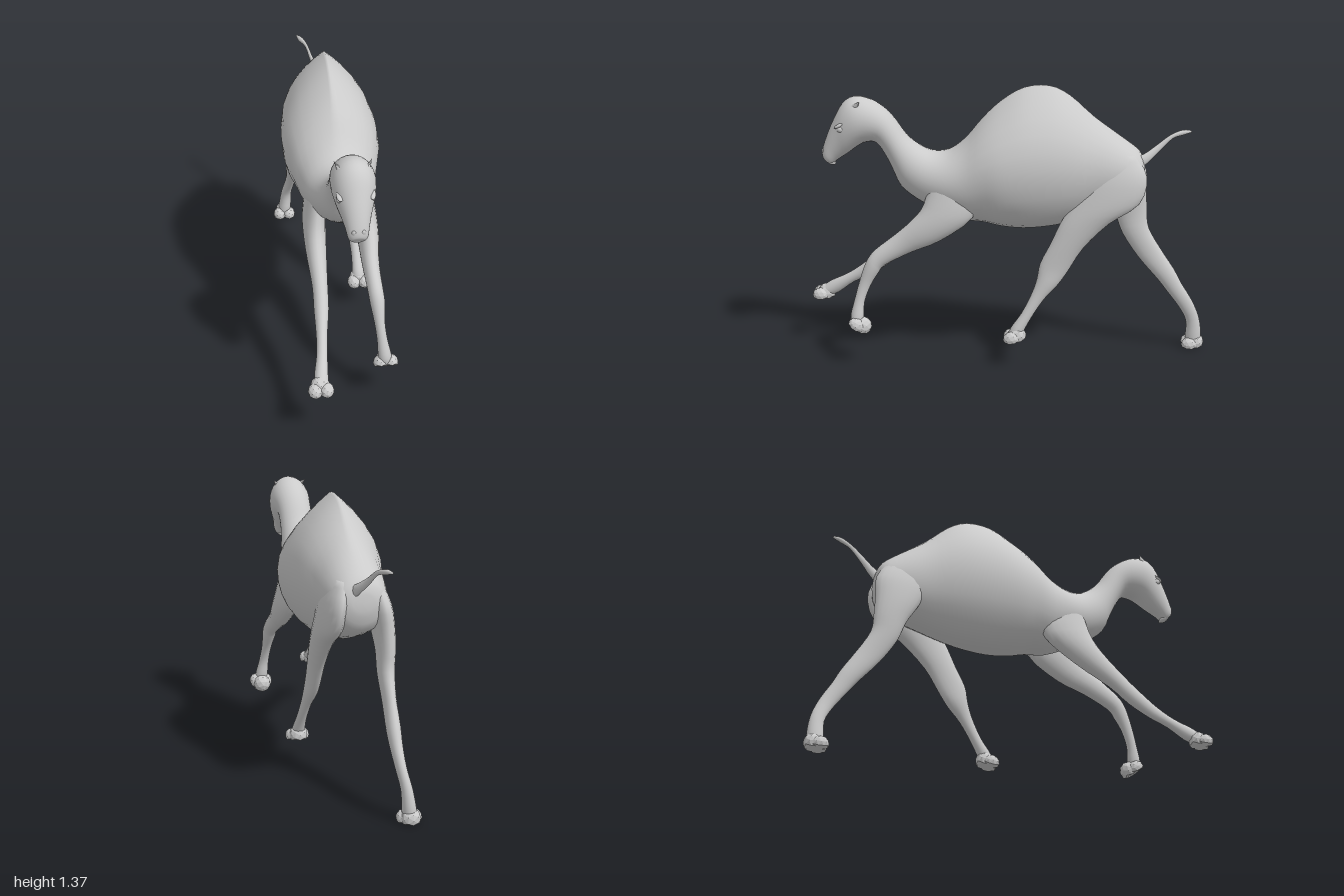
import * as THREE from 'three';

const material = new THREE.MeshStandardMaterial({ color: 0xcccccc, side: THREE.DoubleSide });
const faceted = new THREE.MeshStandardMaterial({ color: 0xcccccc, flatShading: true });

// Smooth value at t between b and c
const spline = (a, b, c, d, t) =>
  b + 0.5 * t * (c - a + t * (2 * a - 5 * b + 4 * c - d + t * (3 * (b - c) + d - a)));

// Skin over cross-sections. Each row is one section:
// [upper edge z, y, lower edge z, y, half width, centre x, widest level 0-1, upper taper]
function loft(name, rows, sides = 20, steps = 3) {
  const full = rows.map(r => [...r, ...[0, 0, 0, 0, 0, 0, 0.5, 1].slice(r.length)]);
  const at = i => full[Math.min(Math.max(i, 0), full.length - 1)];
  const sections = [];
  for (let i = 0; i < full.length - 1; i++)
    for (let k = 0; k < steps; k++)
      sections.push(at(i).map((v, c) => spline(at(i - 1)[c], v, at(i + 1)[c], at(i + 2)[c], k / steps)));
  sections.push(at(full.length - 1));

  const positions = [], index = [];
  for (const [zt, yt, zb, yb, w, xc, mid, taper] of sections) {
    for (let j = 0; j < sides; j++) {
      const a = (j / sides) * Math.PI * 2, s = Math.sin(a), c = Math.cos(a);
      const level = s > 0 ? mid + s * (1 - mid) : mid + s * mid;
      const x = s > 0 ? Math.sign(c) * Math.abs(c) ** taper : c;
      positions.push(xc + w * x, yb + (yt - yb) * level, zb + (zt - zb) * level);
    }
  }
  const last = (sections.length - 1) * sides;
  for (let i = 0; i < sections.length - 1; i++)
    for (let j = 0; j < sides; j++) {
      const a = i * sides + j, b = i * sides + (j + 1) % sides;
      index.push(a, b, b + sides, a, b + sides, a + sides);
    }
  // End caps
  for (const [row, start, flip] of [[sections[0], 0, true], [sections.at(-1), last, false]]) {
    const centre = positions.length / 3;
    positions.push(row[5], (row[1] + row[3]) / 2, (row[0] + row[2]) / 2);
    for (let j = 0; j < sides; j++) {
      const a = start + j, b = start + (j + 1) % sides;
      index.push(centre, ...(flip ? [b, a] : [a, b]));
    }
  }
  const geometry = new THREE.BufferGeometry();
  geometry.setAttribute('position', new THREE.Float32BufferAttribute(positions, 3));
  geometry.setIndex(index);
  geometry.computeVertexNormals();
  const mesh = new THREE.Mesh(geometry, material);
  mesh.name = name;
  return mesh;
}

function blob(name, geometry, mat, position, scale, tilt = 0) {
  const mesh = new THREE.Mesh(geometry, mat);
  mesh.name = name;
  mesh.position.set(...position);
  mesh.scale.set(...scale);
  mesh.rotation.x = tilt;
  return mesh;
}

// Faceted two-toed foot with a flat sole
function foot(name, x, y, z, tilt) {
  const geometry = new THREE.IcosahedronGeometry(1, 1);
  const p = geometry.attributes.position;
  for (let i = 0; i < p.count; i++) p.setY(i, Math.max(p.getY(i), -0.5));
  const group = new THREE.Group();
  group.name = name;
  group.add(blob('heelPad', geometry, faceted, [0, 0.018, -0.012], [0.046, 0.048, 0.045]));
  for (const side of [-1, 1])
    group.add(blob('toe', geometry, faceted, [side * 0.026, 0.012, 0.016], [0.034, 0.036, 0.042]));
  group.position.set(x, y, z);
  group.rotation.x = tilt;
  return group;
}

export function createModel() {
  const model = new THREE.Group();
  model.name = 'camel';

  // Rump, hump, chest, neck and head in one skin
  model.add(loft('body', [
    [-0.665, 1.01, -0.67, 0.93, 0.05],
    [-0.64, 1.07, -0.64, 0.84, 0.115],
    [-0.55, 1.14, -0.55, 0.79, 0.145, 0, 0.5, 1.1],
    [-0.42, 1.235, -0.42, 0.745, 0.168, 0, 0.5, 1.4],
    [-0.3, 1.34, -0.3, 0.71, 0.2, 0, 0.48, 1.8],
    [-0.2, 1.385, -0.2, 0.69, 0.22, 0, 0.47, 2],
    [-0.08, 1.375, -0.08, 0.68, 0.232, 0, 0.47, 2],
    [0.03, 1.31, 0.03, 0.69, 0.23, 0, 0.48, 1.9],
    [0.12, 1.225, 0.12, 0.71, 0.21, 0, 0.5, 1.6],
    [0.2, 1.13, 0.22, 0.72, 0.185, 0, 0.5, 1.3],
    [0.28, 1.07, 0.34, 0.77, 0.16, 0, 0.5, 1.1],
    [0.36, 1.06, 0.44, 0.82, 0.13],
    [0.43, 1.09, 0.52, 0.885, 0.105],
    [0.49, 1.14, 0.56, 0.97, 0.09],
    [0.54, 1.21, 0.6, 1.05, 0.085],
    [0.59, 1.265, 0.64, 1.1, 0.088],
    [0.66, 1.31, 0.69, 1.1, 0.098],
    [0.74, 1.326, 0.73, 1.08, 0.1],
    [0.8, 1.29, 0.77, 1.05, 0.088],
    [0.845, 1.21, 0.8, 1.03, 0.07],
    [0.88, 1.13, 0.83, 1.01, 0.055],
    [0.903, 1.06, 0.855, 0.99, 0.044],
    [0.903, 1.03, 0.875, 0.995, 0.028],
  ], 28));

  // Legs, shoulder or hip down to the ankle
  model.add(loft('leftFrontLeg', [
    [0.36, 0.98, 0.14, 0.92, 0.045, 0.1],
    [0.4, 0.82, 0.16, 0.76, 0.055, 0.12],
    [0.46, 0.74, 0.32, 0.64, 0.05, 0.125],
    [0.55, 0.66, 0.46, 0.58, 0.04, 0.12],
    [0.64, 0.59, 0.59, 0.515, 0.036, 0.125],
    [0.685, 0.53, 0.625, 0.475, 0.035, 0.13],
    [0.72, 0.43, 0.665, 0.41, 0.025, 0.135],
    [0.745, 0.34, 0.695, 0.33, 0.025, 0.145],
    [0.765, 0.26, 0.7, 0.26, 0.032, 0.155],
    [0.76, 0.22, 0.71, 0.21, 0.03, 0.16],
  ]));
  model.add(loft('rightFrontLeg', [
    [0.36, 0.98, 0.14, 0.92, 0.045, -0.1],
    [0.4, 0.8, 0.16, 0.76, 0.055, -0.12],
    [0.46, 0.7, 0.32, 0.63, 0.05, -0.125],
    [0.58, 0.58, 0.5, 0.525, 0.037, -0.125],
    [0.66, 0.505, 0.6, 0.445, 0.035, -0.13],
    [0.74, 0.435, 0.7, 0.38, 0.027, -0.14],
    [0.82, 0.38, 0.79, 0.335, 0.025, -0.15],
    [0.91, 0.335, 0.87, 0.275, 0.032, -0.165],
    [0.955, 0.3, 0.925, 0.255, 0.032, -0.17],
  ]));
  model.add(loft('leftHindLeg', [
    [-0.36, 1.08, -0.62, 1.06, 0.04, 0.075],
    [-0.36, 0.96, -0.675, 0.96, 0.055, 0.1],
    [-0.32, 0.84, -0.64, 0.83, 0.055, 0.115],
    [-0.26, 0.73, -0.5, 0.735, 0.047, 0.12],
    [-0.215, 0.63, -0.375, 0.61, 0.04, 0.12],
    [-0.165, 0.53, -0.3, 0.49, 0.034, 0.12],
    [-0.15, 0.455, -0.25, 0.42, 0.033, 0.125],
    [-0.125, 0.38, -0.185, 0.35, 0.025, 0.135],
    [-0.075, 0.28, -0.125, 0.26, 0.025, 0.145],
    [-0.02, 0.2, -0.085, 0.185, 0.032, 0.15],
    [-0.02, 0.16, -0.075, 0.155, 0.03, 0.15],
  ]));
  model.add(loft('rightHindLeg', [
    [-0.4, 1.06, -0.62, 1.05, 0.04, -0.075],
    [-0.42, 0.93, -0.68, 0.95, 0.055, -0.1],
    [-0.47, 0.82, -0.685, 0.84, 0.052, -0.115],
    [-0.53, 0.72, -0.69, 0.74, 0.044, -0.12],
    [-0.57, 0.62, -0.7, 0.65, 0.039, -0.115],
    [-0.65, 0.5, -0.76, 0.545, 0.031, -0.11],
    [-0.75, 0.385, -0.83, 0.44, 0.033, -0.105],
    [-0.8, 0.32, -0.87, 0.365, 0.029, -0.105],
    [-0.86, 0.24, -0.925, 0.275, 0.025, -0.11],
    [-0.9, 0.16, -0.965, 0.18, 0.027, -0.125],
    [-0.9, 0.07, -0.98, 0.08, 0.034, -0.135],
    [-0.91, 0.04, -0.97, 0.04, 0.032, -0.14],
  ]));

  // Feet
  model.add(foot('leftFrontFoot', 0.16, 0.2, 0.727, -0.6));
  model.add(foot('rightFrontFoot', -0.175, 0.252, 0.945, 0));
  model.add(foot('leftHindFoot', 0.15, 0.147, -0.045, 0.15));
  model.add(foot('rightHindFoot', -0.14, 0.024, -0.937, 0));

  // Tail with a small tuft
  model.add(loft('tail', [
    [-0.62, 0.97, -0.6, 1.04, 0.022, 0.04],
    [-0.68, 1.015, -0.66, 1.06, 0.015, 0.03],
    [-0.74, 1.07, -0.725, 1.1, 0.01, 0],
    [-0.8, 1.125, -0.79, 1.145, 0.008, -0.02],
    [-0.85, 1.137, -0.85, 1.163, 0.013, -0.045],
    [-0.895, 1.148, -0.89, 1.158, 0.004, -0.06],
  ], 10));

  // Eyes, brows, ears and nostril ridges
  const ball = new THREE.SphereGeometry(1, 14, 10);
  const ear = new THREE.ConeGeometry(0.016, 0.05, 8);
  for (const side of [-1, 1]) {
    model.add(blob('eye', ball, material, [side * 0.073, 1.175, 0.798], [0.014, 0.016, 0.022]));
    model.add(blob('brow', ball, material, [side * 0.07, 1.195, 0.805], [0.017, 0.009, 0.03], 0.5));
    const earMesh = blob('ear', ear, material, [side * 0.072, 1.296, 0.72], [0.8, 1, 1.3], -0.7);
    earMesh.rotation.z = -side * 0.5;
    model.add(earMesh);
    model.add(blob('nostril', ball, material, [side * 0.02, 1.055, 0.892], [0.012, 0.016, 0.01], 0.3));
  }
  model.add(blob('lowerLip', ball, material, [0, 1.002, 0.862], [0.03, 0.014, 0.026], -0.5));
  return model;
}
